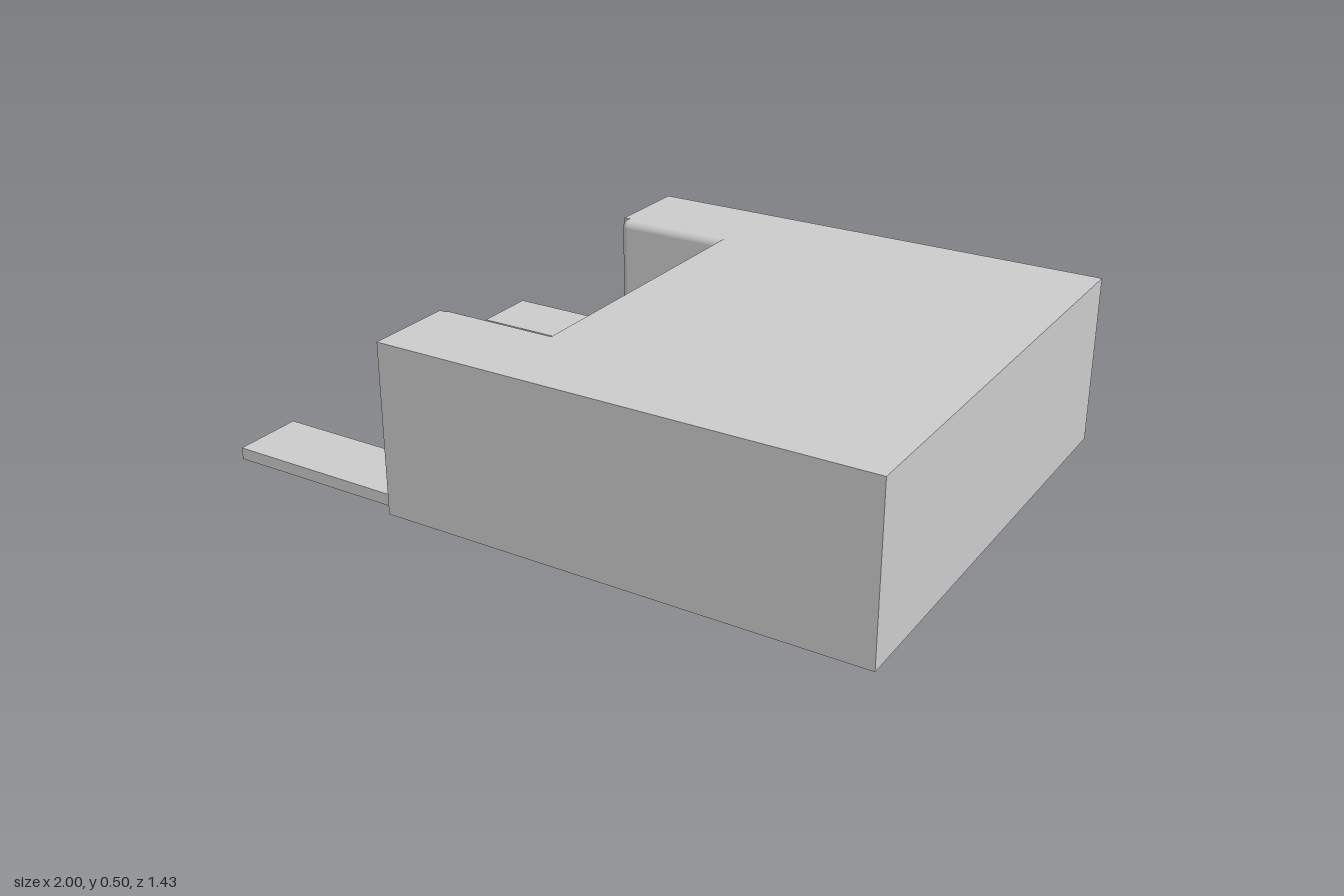
import * as THREE from 'three';
import { RoundedBoxGeometry } from 'three/addons/geometries/RoundedBoxGeometry.js';

const material = new THREE.MeshStandardMaterial({ color: 0xcccccc });

const X0 = -0.43, X1 = 1, NOTCH = -0.07; // open face, closed face, notch floor
const HALF = 0.713, H = 0.5;             // half depth and height of the block
const INNER = 0.43, R = 0.025;           // notch half width and its edge rounding

function add(group, name, geometry, x, y, z) {
  const mesh = new THREE.Mesh(geometry, material);
  mesh.name = name;
  mesh.position.set(x, y, z);
  group.add(mesh);
}

export function createModel() {
  const group = new THREE.Group();
  group.name = 'notchedBlock';

  // U-shaped body, drawn in plan and extruded upwards
  const plan = new THREE.Shape();
  const w = INNER + R;
  [[X0, -HALF], [X1, -HALF], [X1, HALF], [X0, HALF], [X0, w], [NOTCH, w], [NOTCH, -w], [X0, -w]]
    .forEach(([x, z], i) => (i ? plan.lineTo(x, z) : plan.moveTo(x, z)));
  plan.closePath();
  const body = new THREE.ExtrudeGeometry(plan, { depth: H, bevelEnabled: false });
  body.rotateX(-Math.PI / 2);
  add(group, 'body', body, 0, 0, 0);

  for (const side of [-1, 1]) {
    // Rounded cheek on the inside of each arm, its inner end sunk in the body
    const length = NOTCH + 0.05 - X0;
    add(group, 'notchCheek', new RoundedBoxGeometry(length, H, 2 * R, 6, R),
      X0 + length / 2, H / 2, side * w);

    // Flat tab running out from the foot of each arm
    add(group, 'tab', new THREE.BoxGeometry(X0 + 1, 0.035, 0.21),
      (X0 - 1) / 2, 0.0175, side * 0.572);
  }

  // Thin bar across the mouth of the notch
  add(group, 'crossbar', new RoundedBoxGeometry(0.028, 0.06, 2 * w, 3, 0.006),
    X0 + 0.014, 0.135, 0);

  return group;
}
